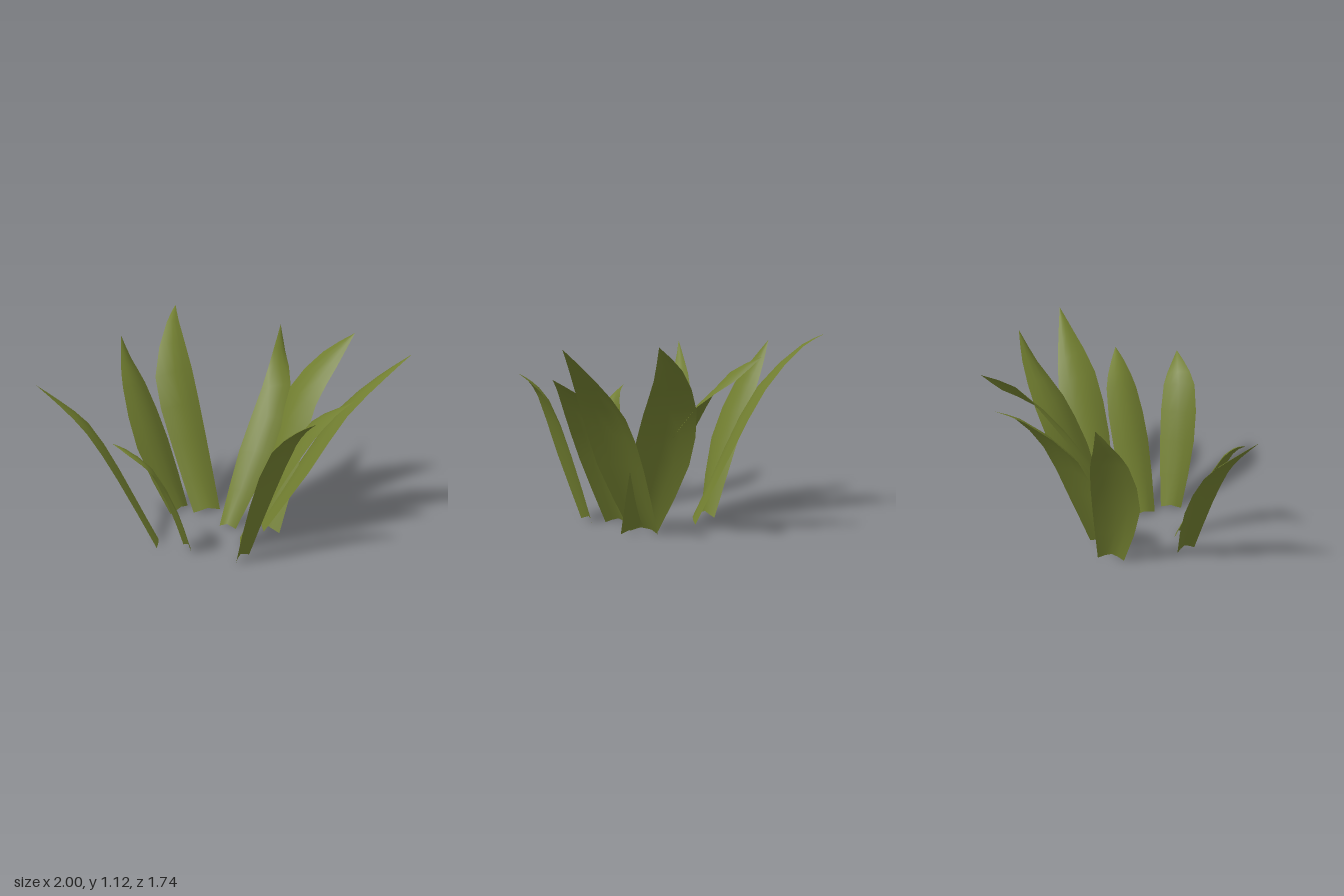
import * as THREE from 'three';

const ROWS = 8, COLS = 4;

// Curve along one side of a leaf, from base to tip
const edge = (points) => new THREE.CatmullRomCurve3(points.map((p) => new THREE.Vector3(...p)));

// Leaf surface stretched between two edge curves that meet at the tip,
// with its middle arched gently upward and a shallow notch at the base
function leafGeometry(left, right, tip) {
  const a = edge([...left, tip]), b = edge([...right, tip]);
  const positions = [], index = [];
  for (let i = 0; i <= ROWS; i++) {
    const t = i / ROWS;
    const l = a.getPoint(t), r = b.getPoint(t);
    const across = r.clone().sub(l);
    const along = a.getTangent(t).add(b.getTangent(t));
    const arch = new THREE.Vector3().crossVectors(across, along).normalize();
    if (arch.y < 0) arch.negate();
    arch.multiplyScalar(across.length() * 0.12);
    for (let j = 0; j <= COLS; j++) {
      const u = j / COLS;
      const p = l.clone().lerp(r, u).addScaledVector(arch, 4 * u * (1 - u));
      if (i === 0) p.y += 0.02 * (1 - Math.abs(2 * u - 1));
      positions.push(p.x, p.y, p.z);
      if (i < ROWS && j < COLS) {
        const k = i * (COLS + 1) + j, n = k + COLS + 1;
        index.push(k, k + 1, n);
        if (i < ROWS - 1) index.push(k + 1, n + 1, n);
      }
    }
  }
  const geometry = new THREE.BufferGeometry();
  geometry.setAttribute('position', new THREE.Float32BufferAttribute(positions, 3));
  geometry.setIndex(index);
  geometry.computeVertexNormals();
  return geometry;
}

export function createModel() {
  const group = new THREE.Group();
  group.name = 'leafyPlant';
  const leafGreen = new THREE.MeshStandardMaterial({ color: 0x717e30, side: THREE.DoubleSide });
  leafGreen.name = 'leafGreen';

  const addLeaf = (name, left, right, tip) => {
    const mesh = new THREE.Mesh(leafGeometry(left, right, tip), leafGreen);
    mesh.name = name;
    group.add(mesh);
  };

  // Each leaf: base, lower, upper and near-tip points of both edges, then the tip
  addLeaf('backLeaf',
    [[-0.05, 0.005, -0.14], [-0.13, 0.42, -0.325], [-0.158, 0.78, -0.52], [0, 1.05, -0.755]],
    [[0.12, 0.005, -0.13], [0.105, 0.42, -0.335], [0.088, 0.8, -0.535], [0.08, 1.05, -0.75]],
    [0.1, 1.125, -0.87]);
  addLeaf('backRightLeaf',
    [[-0.19, 0.005, -0.175], [-0.37, 0.44, -0.245], [-0.405, 0.78, -0.39], [-0.385, 0.92, -0.49]],
    [[-0.05, 0.005, -0.25], [-0.13, 0.42, -0.38], [-0.23, 0.76, -0.505], [-0.3, 0.91, -0.555]],
    [-0.35, 1.05, -0.59]);
  addLeaf('rightLeaf',
    [[-0.41, 0.005, 0.22], [-0.6, 0.42, 0.12], [-0.75, 0.7, 0.045], [-0.875, 0.855, -0.025]],
    [[-0.375, 0.005, 0.1], [-0.555, 0.42, -0.08], [-0.71, 0.71, -0.12], [-0.855, 0.86, -0.09]],
    [-1, 0.99, -0.05]);
  addLeaf('frontRightLeaf',
    [[-0.24, 0.005, 0.33], [-0.35, 0.3, 0.435], [-0.49, 0.57, 0.465], [-0.61, 0.68, 0.38]],
    [[-0.25, 0.005, 0.23], [-0.36, 0.3, 0.295], [-0.51, 0.6, 0.33], [-0.61, 0.7, 0.33]],
    [-0.68, 0.735, 0.31]);
  addLeaf('frontLeaf',
    [[-0.05, 0.005, 0.55], [-0.03, 0.42, 0.69], [0.05, 0.76, 0.785], [0.17, 0.87, 0.83]],
    [[0.06, 0.005, 0.48], [0.16, 0.42, 0.585], [0.23, 0.74, 0.7], [0.245, 0.85, 0.79]],
    [0.26, 0.915, 0.865]);
  addLeaf('frontLeftLeaf',
    [[0.045, 0.005, 0.4], [0.22, 0.42, 0.535], [0.38, 0.71, 0.605], [0.5, 0.85, 0.63]],
    [[0.12, 0.005, 0.26], [0.3, 0.42, 0.295], [0.46, 0.74, 0.41], [0.54, 0.85, 0.54]],
    [0.59, 0.92, 0.645]);
  addLeaf('leftLeaf',
    [[0.25, 0.005, 0.25], [0.45, 0.43, 0.42], [0.64, 0.78, 0.5], [0.86, 1.0, 0.535]],
    [[0.33, 0.005, 0.09], [0.55, 0.42, 0.165], [0.73, 0.73, 0.255], [0.87, 0.95, 0.405]],
    [0.995, 1.12, 0.555]);
  addLeaf('leftInnerLeaf',
    [[0.33, 0.005, 0.3], [0.485, 0.44, 0.235], [0.605, 0.73, 0.167], [0.765, 0.935, 0.108]],
    [[0.27, 0.005, 0.09], [0.41, 0.42, -0.085], [0.565, 0.75, -0.12], [0.745, 0.985, -0.04]],
    [0.89, 1.12, 0.08]);
  addLeaf('backLeftLeaf',
    [[0.035, 0.005, 0.08], [0.21, 0.42, -0.045], [0.41, 0.75, -0.18], [0.54, 0.955, -0.3]],
    [[0.11, 0.005, 0.155], [0.37, 0.42, 0.08], [0.575, 0.77, -0.12], [0.628, 0.92, -0.325]],
    [0.655, 1.05, -0.46]);

  return group;
}
